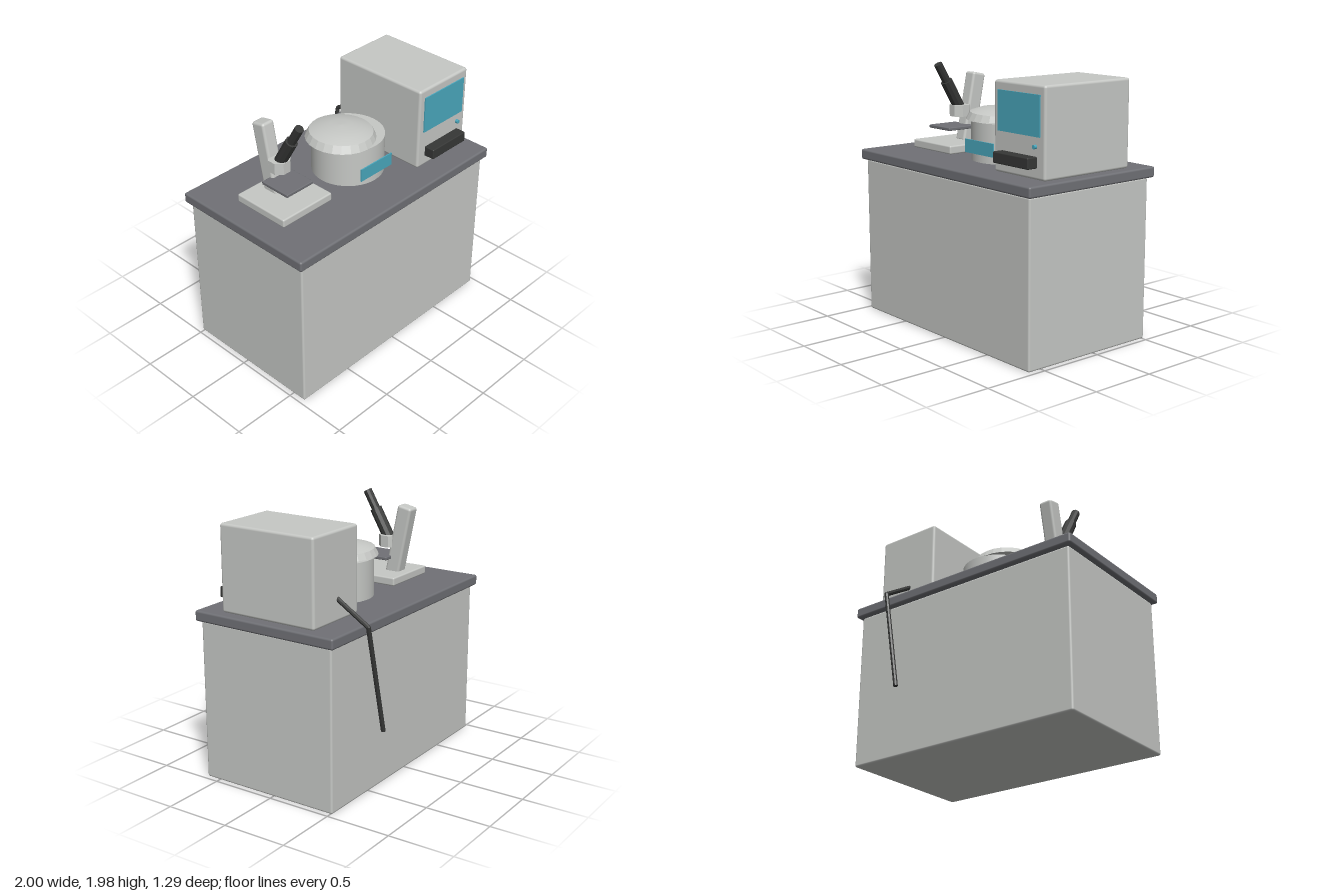
import * as THREE from 'three';
import { RoundedBoxGeometry } from 'three/addons/geometries/RoundedBoxGeometry.js';

export function createModel() {
  const root = new THREE.Group();
  root.name = 'labBench';

  const makeMaterial = (name, color) => {
    const m = new THREE.MeshStandardMaterial({ color });
    m.name = name;
    return m;
  };
  const shell = makeMaterial('light grey shell', 0xc6c8c5);
  const slate = makeMaterial('slate grey', 0x707176);
  const black = makeMaterial('black plastic', 0x363736);
  const teal = makeMaterial('teal display', 0x4aa8be);

  const group = (name) => {
    const g = new THREE.Group();
    g.name = name;
    root.add(g);
    return g;
  };
  const add = (parent, name, geometry, material, x, y, z) => {
    const mesh = new THREE.Mesh(geometry, material);
    mesh.name = name;
    mesh.position.set(x, y, z);
    parent.add(mesh);
    return mesh;
  };
  const rounded = (w, h, d, r) => new RoundedBoxGeometry(w, h, d, 2, r);
  // Faceted copy of a geometry
  const flat = (geometry) => {
    const g = geometry.toNonIndexed();
    g.computeVertexNormals();
    return g;
  };
  // Straight rod between two points
  const rod = (parent, name, a, b, radius, sides, material) => {
    const from = new THREE.Vector3(...a);
    const dir = new THREE.Vector3(...b).sub(from);
    const geo = flat(new THREE.CylinderGeometry(radius, radius, dir.length(), sides));
    const mid = from.clone().addScaledVector(dir, 0.5);
    const mesh = add(parent, name, geo, material, mid.x, mid.y, mid.z);
    mesh.quaternion.setFromUnitVectors(new THREE.Vector3(0, 1, 0), dir.normalize());
    return mesh;
  };

  // Bench
  const bench = group('bench');
  add(bench, 'cabinet', rounded(1.93, 1.215, 1.13, 0.015), shell, 0, 0.6075, 0.05);
  add(bench, 'worktop', rounded(2, 0.08, 1.195, 0.015), slate, 0, 1.255, 0.0475);

  // Analyser with screen, button, tray and power cable
  const analyser = group('analyser');
  add(analyser, 'analyserCase', rounded(0.53, 0.645, 0.8, 0.02), shell, 0.665, 1.6175, 0.05);
  add(analyser, 'analyserScreen', new THREE.BoxGeometry(0.435, 0.285, 0.009), teal, 0.6675, 1.7325, 0.4545);
  const button = add(analyser, 'button', new THREE.CylinderGeometry(0.015, 0.015, 0.025, 12), teal, 0.837, 1.522, 0.459);
  button.rotation.x = Math.PI / 2;
  add(analyser, 'sampleTray', rounded(0.37, 0.08, 0.09, 0.008), black, 0.665, 1.415, 0.487);

  const cable = [[0.645, 1.465, -0.33], [0.645, 1.295, -0.6], [0.487, 0.49, -0.627]];
  for (let i = 0; i < 2; i++) {
    rod(analyser, 'powerCable', cable[i], cable[i + 1], 0.017, 8, black);
  }
  add(analyser, 'cableBend', new THREE.SphereGeometry(0.017, 8, 6), black, ...cable[1]);

  // Centrifuge: drum, offset tilted lid and display
  const centrifuge = group('centrifuge');
  add(centrifuge, 'drum', new THREE.CylinderGeometry(0.272, 0.272, 0.293, 40), shell, 0.075, 1.4415, 0.05);
  add(centrifuge, 'drumDisplay', new THREE.BoxGeometry(0.325, 0.1, 0.0095), teal, 0.0825, 1.405, 0.327);

  const lid = new THREE.Group();
  lid.name = 'lid';
  lid.position.set(0, 1.585, 0.05);
  lid.rotation.z = -0.04;
  centrifuge.add(lid);
  add(lid, 'lidRim', flat(new THREE.CylinderGeometry(0.236, 0.264, 0.055, 24)), shell, 0, 0.0275, 0);
  const domeProfile = [[0.236, 0.055], [0.17, 0.078], [0.09, 0.092], [0, 0.096]]
    .map(([r, y]) => new THREE.Vector2(r, y));
  add(lid, 'lidDome', new THREE.LatheGeometry(domeProfile, 24), shell, 0, 0, 0);

  // Microscope: foot, leaning arm, stage, turret and eyepiece
  const microscope = group('microscope');
  const mx = -0.567;
  add(microscope, 'foot', rounded(0.475, 0.065, 0.47, 0.012), shell, mx, 1.3275, 0.045);
  const arm = add(microscope, 'arm', rounded(0.108, 0.55, 0.12, 0.02), shell, mx, 1.605, -0.105);
  arm.rotation.x = -0.2;
  add(microscope, 'stage', rounded(0.255, 0.025, 0.255, 0.006), slate, mx, 1.4675, 0.078);
  const turret = add(microscope, 'turret', flat(new THREE.CylinderGeometry(0.083, 0.083, 0.09, 8)), shell, mx, 1.59, 0);
  turret.rotation.y = Math.PI / 8;

  // Tube and eyepiece share an axis tilted 30 degrees forward
  const onAxis = (t) => [mx, 1.6 + t * 0.866, t * 0.5];
  rod(microscope, 'eyepieceTube', onAxis(0), onAxis(0.26), 0.046, 10, black);
  rod(microscope, 'eyepiece', onAxis(0.24), onAxis(0.416), 0.033, 10, black);

  return root;
}
